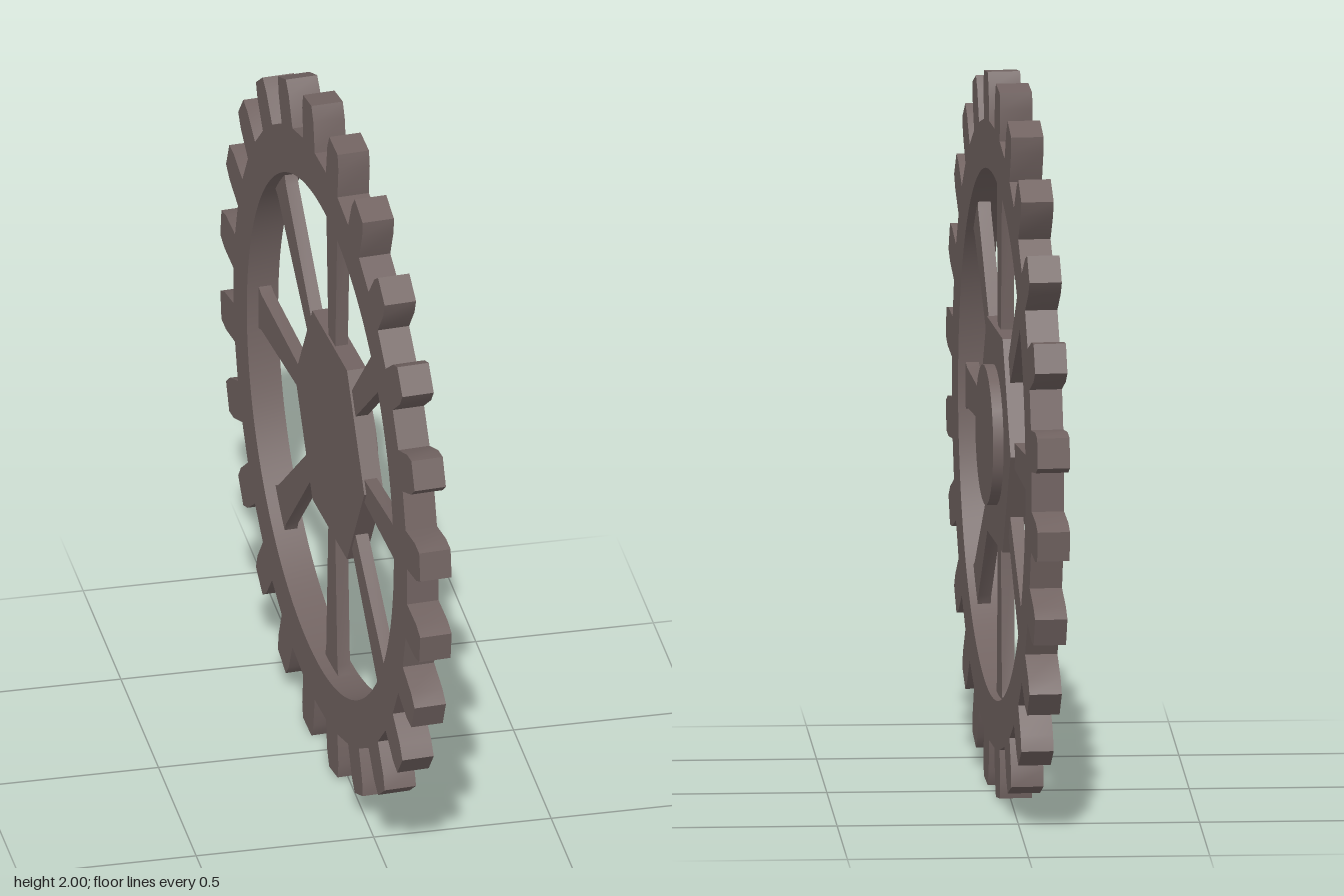
import * as THREE from 'three';
import { toCreasedNormals } from 'three/addons/utils/BufferGeometryUtils.js';

const TEETH = 24;
const SPOKES = 8;

// Extrudes a flat shape from depth z0 to z1, keeping hard edges sharp.
function plate(shape, z0, z1) {
  const geo = new THREE.ExtrudeGeometry(shape, { depth: z1 - z0, bevelEnabled: false, curveSegments: 64 });
  geo.translate(0, 0, z0);
  return toCreasedNormals(geo, 0.4);
}

export function createModel() {
  const metal = new THREE.MeshStandardMaterial({ color: 0x716361 });
  metal.name = 'dull brown metal';
  const model = new THREE.Group();
  model.name = 'gearWheel';
  const add = (name, geo) => {
    const mesh = new THREE.Mesh(geo, metal);
    mesh.name = name;
    model.add(mesh);
    return mesh;
  };

  // Rim with teeth: [distance from centre, sideways offset] for one tooth
  const tooth = [[0.868, -0.058], [0.96, -0.056], [1.003, -0.042], [1.003, 0.042], [0.96, 0.056], [0.868, 0.058]];
  const outline = [];
  for (let i = 0; i < TEETH; i++) {
    const a = ((i + 0.5) / TEETH) * Math.PI * 2;
    for (const [r, t] of tooth) {
      outline.push(new THREE.Vector2(r * Math.cos(a) - t * Math.sin(a), r * Math.sin(a) + t * Math.cos(a)));
    }
  }
  const rim = new THREE.Shape(outline);
  rim.holes.push(new THREE.Path().absarc(0, 0, 0.735, 0, Math.PI * 2, true));
  add('toothedRim', plate(rim, -0.045, 0.045));

  // Tapered spokes, flaring where they meet the rim
  const spokeShape = new THREE.Shape([[0.25, -0.032], [0.705, -0.056], [0.74, -0.068], [0.74, 0.068], [0.705, 0.056], [0.25, 0.032]]
    .map(([x, y]) => new THREE.Vector2(x, y)));
  const spokeGeo = plate(spokeShape, -0.012, 0.024);
  for (let i = 0; i < SPOKES; i++) {
    add('spoke' + (i + 1), spokeGeo).rotation.z = (i / SPOKES) * Math.PI * 2;
  }

  // Six-sided hub with points fore and aft
  const hex = [];
  for (let i = 0; i < 6; i++) {
    hex.push(new THREE.Vector2(0.346 * Math.cos((i * Math.PI) / 3), 0.346 * Math.sin((i * Math.PI) / 3)));
  }
  add('hub', plate(new THREE.Shape(hex), -0.018, 0.037));

  // Round boss on the outer side of the hub
  const boss = new THREE.CylinderGeometry(0.195, 0.195, 0.04, 24);
  boss.rotateX(Math.PI / 2);
  boss.translate(0, 0, 0.046);
  add('hubBoss', boss);

  // Stand the wheel facing sideways, turned slightly
  model.rotation.y = Math.PI / 2 + 0.07;
  model.position.y = 1;
  const root = new THREE.Group();
  root.add(model);
  return root;
}
